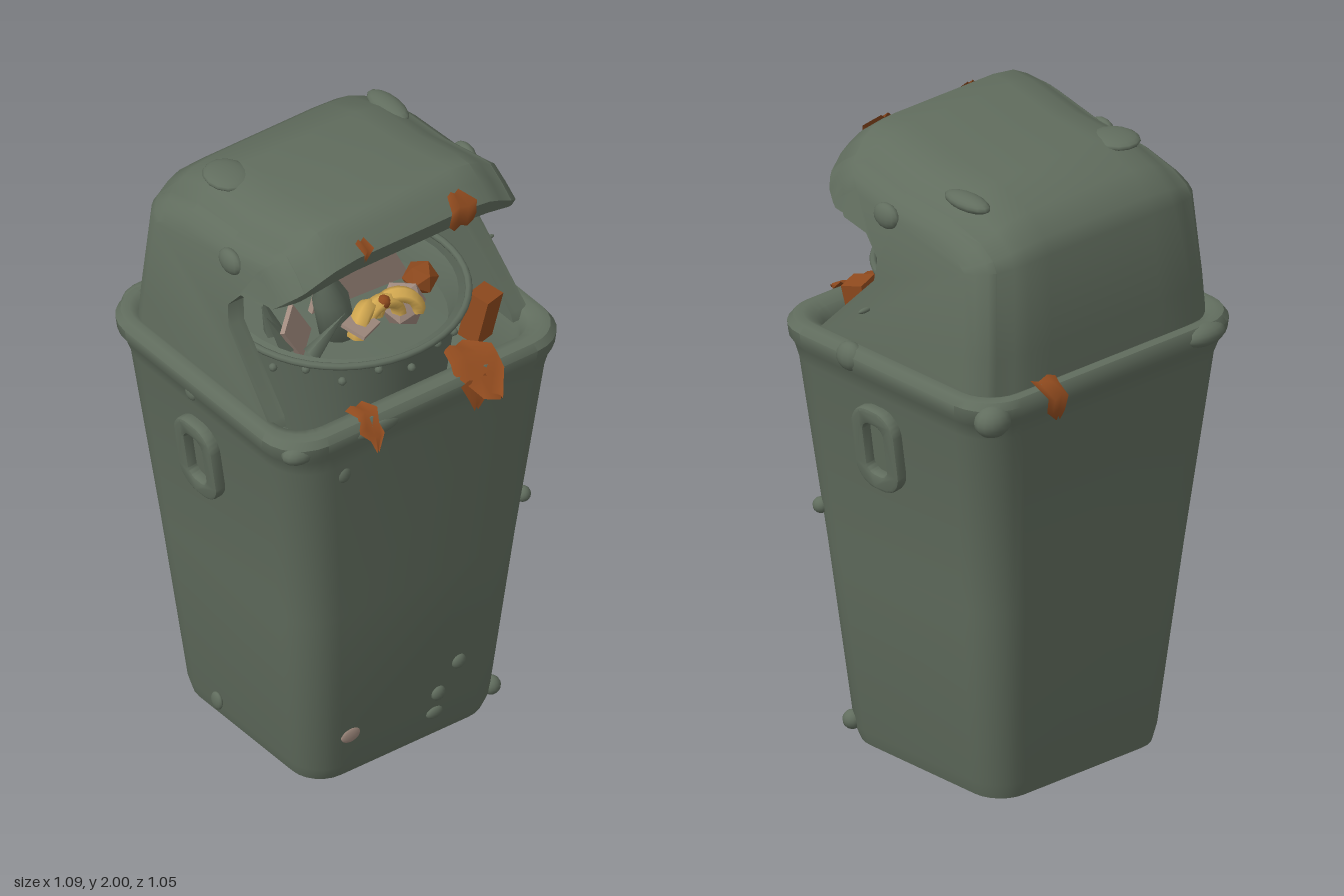
import * as THREE from 'three';
import { toCreasedNormals } from 'three/addons/utils/BufferGeometryUtils.js';

const V = (x, y, z) => new THREE.Vector3(x, y, z);
const mat = (name, color, double) => {
  const m = new THREE.MeshStandardMaterial({ color });
  m.name = name;
  if (double) m.side = THREE.DoubleSide;
  return m;
};

// Skin closed rings of points; optional flat caps facing the two given directions
function loft(rings, startDir, endDir, flat, crease = 0.7) {
  const n = rings[0].length, pos = rings.flat().flatMap(p => [p.x, p.y, p.z]), idx = [];
  for (let i = 0; i < rings.length - 1; i++) for (let j = 0; j < n; j++) {
    const a = i * n + j, b = i * n + (j + 1) % n, c = b + n, d = a + n;
    idx.push(a, d, b, b, d, c);
  }
  [[0, startDir], [rings.length - 1, endDir]].forEach(([r, dir]) => {
    const ring = rings[r];
    for (const [a, b, c] of THREE.ShapeUtils.triangulateShape(ring.map(flat), [])) {
      const nrm = ring[b].clone().sub(ring[a]).cross(ring[c].clone().sub(ring[a]));
      const t = nrm.dot(dir) > 0 ? [a, b, c] : [a, c, b];
      idx.push(...t.map(k => k + r * n));
    }
  });
  const g = new THREE.BufferGeometry();
  g.setAttribute('position', new THREE.Float32BufferAttribute(pos, 3));
  g.setIndex(idx);
  return toCreasedNormals(g, crease);
}

// Rounded rectangle ring at height y
function rectRing([y, hw, zb, zf, r]) {
  const pts = [], corners = [[hw - r, zf - r], [r - hw, zf - r], [r - hw, zb + r], [hw - r, zb + r]];
  corners.forEach(([cx, cz], k) => {
    for (let i = 0; i <= 6; i++) {
      const a = (k + i / 6) * Math.PI / 2;
      pts.push(V(cx + r * Math.cos(a), y, cz + r * Math.sin(a)));
    }
  });
  return pts;
}

// Side outline of the hood: outer skin, inner skin and the edge of the open side panel, as [z, y]
const OUTER = [[-0.455, 1.36], [-0.45, 1.5], [-0.43, 1.78], [-0.41, 1.83], [-0.34, 1.89], [-0.2, 1.94], [0, 1.955],
  [0.18, 1.995], [0.25, 2.0], [0.3, 1.965], [0.345, 1.915], [0.33, 1.86]];
const INNER = [[0.31, 1.85], [0.25, 1.87], [0.1, 1.88], [-0.2, 1.87], [-0.33, 1.8], [-0.38, 1.7], [-0.41, 1.36]];
const PANEL = [[0.29, 1.84], [0.2, 1.8], [0.1, 1.745], [0.045, 1.68], [0.055, 1.61], [0.27, 1.39], [0.28, 1.36]];

// One hood section; drop lowers the roof edge, inset pulls in the back and the lip
function hoodRing(x, inner, drop, inset) {
  return [...OUTER, ...inner].map(([z, y]) => {
    const top = THREE.MathUtils.clamp((y - 1.75) / 0.18, 0, 1);
    const back = THREE.MathUtils.clamp((-z - 0.25) / 0.17, 0, 1);
    const lip = y > 1.8 && z > 0.22 ? 0.8 : 0;
    return V(x * (1 - 0.16 * (y - 1.38) / 1), y - drop * top, z + inset * (back - lip));
  });
}

// Curled leaf draped along a [y, z, width] path
function leafGeometry(x, path) {
  const pos = [], idx = [];
  path.forEach(([y, z, w], i) => {
    for (let j = 0; j < 4; j++)
      pos.push(x + (j / 3 - 0.5) * w + (i % 2 - 0.5) * 0.015, y + (j % 2) * 0.012, z);
    if (i) for (let j = 0; j < 3; j++) {
      const a = (i - 1) * 4 + j;
      idx.push(a, a + 4, a + 1, a + 1, a + 4, a + 5);
    }
  });
  const g = new THREE.BufferGeometry();
  g.setAttribute('position', new THREE.Float32BufferAttribute(pos, 3));
  g.setIndex(idx);
  g.computeVertexNormals();
  return g;
}

function plate(points, depth) {
  return new THREE.ExtrudeGeometry(new THREE.Shape(points.map(p => new THREE.Vector2(...p))), { depth, bevelEnabled: false });
}

function stadium(Type, w, h) {
  const s = new Type(), r = w / 2 * 0.8, a = w / 2 - r, b = h / 2 - r;
  s.absarc(a, b, r, 0, Math.PI / 2);
  s.absarc(-a, b, r, Math.PI / 2, Math.PI);
  s.absarc(-a, -b, r, Math.PI, Math.PI * 1.5);
  s.absarc(a, -b, r, Math.PI * 1.5, Math.PI * 2);
  return s;
}

export function createModel() {
  const group = new THREE.Group();
  const green = mat('bin green', 0x616d5e), linerGreen = mat('liner green', 0x5f6b5d, true);
  const rust = mat('rust leaf', 0x8f4a1e, true), tan = mat('faded paper', 0xa08a7e, true);
  const yellow = mat('yellow peel', 0xd2a850, true);
  const add = (name, geo, material, x = 0, y = 0, z = 0, rx = 0, ry = 0, rz = 0) => {
    const m = new THREE.Mesh(geo, material);
    m.name = name;
    m.position.set(x, y, z);
    m.rotation.set(rx, ry, rz);
    group.add(m);
    return m;
  };

  // Tapered body, rolled rim and inner well: [y, halfWidth, back, front, corner]
  const up = V(0, 1, 0), down = V(0, -1, 0);
  add('body', loft([
    [0, 0.31, -0.33, 0.28, 0.09], [0.012, 0.335, -0.35, 0.305, 0.1], [0.06, 0.35, -0.36, 0.325, 0.11],
    [0.65, 0.418, -0.415, 0.375, 0.13], [1.26, 0.49, -0.472, 0.43, 0.14], [1.31, 0.505, -0.485, 0.435, 0.14],
    [1.335, 0.52, -0.498, 0.442, 0.14], [1.37, 0.523, -0.502, 0.445, 0.14], [1.392, 0.508, -0.49, 0.43, 0.13],
    [1.398, 0.485, -0.47, 0.405, 0.12], [1.385, 0.455, -0.445, 0.37, 0.1], [1.35, 0.435, -0.43, 0.35, 0.09],
    [1.2, 0.42, -0.42, 0.34, 0.08]].map(rectRing), down, up, p => new THREE.Vector2(p.x, p.z)), green);

  // Hood: thin shell in the middle, open-fronted panels at both sides
  const half = [[0.475, PANEL, 0.14, 0.11], [0.462, PANEL, 0.11, 0.075], [0.435, PANEL, 0.085, 0.045], [0.415, PANEL, 0.07, 0.03],
    [0.413, INNER, 0.07, 0.03], [0.36, INNER, 0.035, 0.01], [0.31, INNER, 0.012, 0], [0.22, INNER, 0, 0]];
  const stations = [...half, ...half.map(([x, ...rest]) => [-x, ...rest]).reverse()];
  add('hood', loft(stations.map(s => hoodRing(...s)), V(1, 0, 0), V(-1, 0, 0), p => new THREE.Vector2(p.z, p.y)), green);

  // Side handles
  const handleShape = stadium(THREE.Shape, 0.165, 0.255);
  handleShape.holes.push(stadium(THREE.Path, 0.105, 0.19));
  const handleGeo = toCreasedNormals(new THREE.ExtrudeGeometry(handleShape,
    { depth: 0.02, bevelThickness: 0.01, bevelSize: 0.01, bevelSegments: 2, curveSegments: 8 }), 0.7);
  const innerGeo = new THREE.ExtrudeGeometry(stadium(THREE.Shape, 0.085, 0.17),
    { depth: 0.008, bevelThickness: 0.004, bevelSize: 0.004, bevelSegments: 1 });
  for (const s of [1, -1]) {
    const handle = new THREE.Group();
    handle.name = s > 0 ? 'leftHandle' : 'rightHandle';
    const ring = new THREE.Mesh(handleGeo, green), pad = new THREE.Mesh(innerGeo, green);
    ring.name = 'handleRing';
    pad.name = 'handlePad';
    pad.position.z = -0.015;
    handle.add(ring, pad);
    handle.position.set(s * 0.497, 1.11, -0.02);
    handle.rotation.set(0.14, s * Math.PI / 2, 0, 'YXZ');
    group.add(handle);
  }

  // Round liner bucket with flanged lip
  const liner = [[0.3, 1.21], [0.335, 1.47], [0.34, 1.5], [0.362, 1.512], [0.362, 1.52], [0.34, 1.53],
    [0.325, 1.5], [0.31, 1.44], [0, 1.46]].map(p => new THREE.Vector2(...p));
  add('liner', toCreasedNormals(new THREE.LatheGeometry(liner, 40), 0.7), linerGreen, -0.02, 0, 0.03);
  add('linerRing', new THREE.TorusGeometry(0.37, 0.011, 8, 48), linerGreen, -0.02, 1.53, 0.03, Math.PI / 2, 0.02, 0);
  for (let i = 0; i < 9; i++) {
    const a = 0.3 + i * 0.32;
    add('linerStud', new THREE.SphereGeometry(0.013, 8, 6), linerGreen,
      -0.02 + 0.34 * Math.cos(a), 1.45 + (i % 2) * 0.03, 0.03 + 0.34 * Math.sin(a));
  }

  // Rubbish: bottle, papers, peel, leaves and a rusty tin
  const bottle = [[0, 0], [0.055, 0], [0.055, 0.14], [0.03, 0.21], [0.027, 0.29], [0, 0.29]].map(p => new THREE.Vector2(...p));
  add('bottle', new THREE.LatheGeometry(bottle, 16), linerGreen, -0.09, 1.45, 0.1, 0, 0, 0.2);
  add('bottleCap', new THREE.CylinderGeometry(0.031, 0.031, 0.045, 14), rust, -0.151, 1.75, 0.1, 0, 0, 0.2);
  const paper = plate([[-0.14, 1.5], [-0.1, 1.62], [0, 1.7], [0.07, 1.72], [0.16, 1.69], [0.17, 1.58], [0.22, 1.48]], 0.02);
  add('paper', paper, tan, 0, 0, 0.02);
  add('crumpledPaper', new THREE.IcosahedronGeometry(0.075, 0), tan, 0.08, 1.53, 0.19, 0.4, 0.3, 0);
  add('card', new THREE.BoxGeometry(0.1, 0.14, 0.015), tan, -0.26, 1.54, 0.12, -0.3, 0.5, 0.6);
  add('paperScrap', new THREE.BoxGeometry(0.1, 0.012, 0.08), tan, -0.12, 1.58, 0.25, 0.3, 0.4, -0.2);
  for (const [x, a] of [[-0.08, 0.5], [-0.02, 0], [0.04, -0.5]])
    add('peel', new THREE.TorusGeometry(0.06, 0.022, 6, 12, Math.PI), yellow, x, 1.54, 0.22, 0, a, 0).scale.z = 1.4;
  add('peelTip', new THREE.SphereGeometry(0.022, 8, 6), rust, -0.02, 1.605, 0.23);
  for (const [x, y, z, r] of [[-0.33, 1.57, 0.12, 0.5], [-0.29, 1.56, 0.02, 0.3], [-0.2, 1.55, 0.2, -0.9]])
    add('spikyLeaf', new THREE.ConeGeometry(0.03, 0.16, 5), linerGreen, x, y, z, 0, 0, r);
  add('tin', new THREE.BoxGeometry(0.08, 0.16, 0.07), rust, 0.32, 1.42, 0.25, 0.2, 0.3, -0.15);
  add('brownScrap', new THREE.IcosahedronGeometry(0.055, 0), rust, 0.19, 1.54, 0.13);

  // Dead leaves draped over rim and hood lip
  const leaves = [
    [0.18, [[1.4, 0.31, 0.07], [1.405, 0.38, 0.15], [1.4, 0.42, 0.16], [1.365, 0.455, 0.13], [1.345, 0.51, 0.07], [1.335, 0.53, 0.01]]],
    [0.15, [[1.37, 0.45, 0.09], [1.32, 0.465, 0.08], [1.28, 0.47, 0.02]]],
    [-0.23, [[1.4, 0.37, 0.06], [1.4, 0.42, 0.07], [1.365, 0.45, 0.07], [1.34, 0.47, 0.05], [1.31, 0.495, 0.01]]],
    [0.26, [[1.4, -0.45, 0.1], [1.395, -0.49, 0.09], [1.36, -0.52, 0.08], [1.32, -0.525, 0.07], [1.29, -0.515, 0.02]]],
    [0.18, [[1.96, 0.31, 0.04], [1.925, 0.348, 0.09], [1.89, 0.36, 0.1], [1.855, 0.345, 0.07]]],
    [-0.17, [[1.95, 0.32, 0.03], [1.92, 0.35, 0.035], [1.895, 0.35, 0.01]]],
  ];
  leaves.forEach(([x, path]) => add('deadLeaf', leafGeometry(x, path), rust));

  // Lumps and dents in the skin: [x, y, z, rx, ry, rz]
  const ball = new THREE.SphereGeometry(1, 14, 10);
  const lumps = [
    [-0.31, 1.22, 0.42, 0.025, 0.03, 0.015], [0.41, 0.77, 0.335, 0.025, 0.025, 0.025], [0.1, 0.18, 0.335, 0.025, 0.025, 0.015],
    [0.17, 0.27, 0.342, 0.025, 0.025, 0.015], [0.09, 0.11, 0.33, 0.03, 0.02, 0.012], [0.335, 0.07, 0.28, 0.03, 0.03, 0.03],
    [-0.36, 0.08, -0.13, 0.012, 0.03, 0.025], [-0.45, 1.345, 0.39, 0.06, 0.035, 0.04], [0.5, 1.36, 0.11, 0.035, 0.045, 0.05],
    [-0.5, 1.31, -0.07, 0.012, 0.025, 0.025], [0.46, 1.335, -0.46, 0.06, 0.05, 0.05], [-0.36, 1.36, -0.48, 0.08, 0.035, 0.045],
    [0.43, 1.82, 0.03, 0.025, 0.04, 0.05], [-0.43, 1.82, 0.03, 0.025, 0.04, 0.05], [-0.27, 1.925, -0.2, 0.07, 0.02, 0.08],
    [0.32, 1.91, -0.2, 0.04, 0.025, 0.09], [-0.2, 1.35, 0.44, 0.08, 0.025, 0.012], [0.48, 1.515, 0.07, 0.025, 0.008, 0.008],
  ];
  lumps.forEach(([x, y, z, a, b, c]) => add('lump', ball, green, x, y, z).scale.set(a, b, c));
  add('fadedPatch', ball, tan, -0.22, 0.17, 0.334).scale.set(0.035, 0.025, 0.008);

  return group;
}
